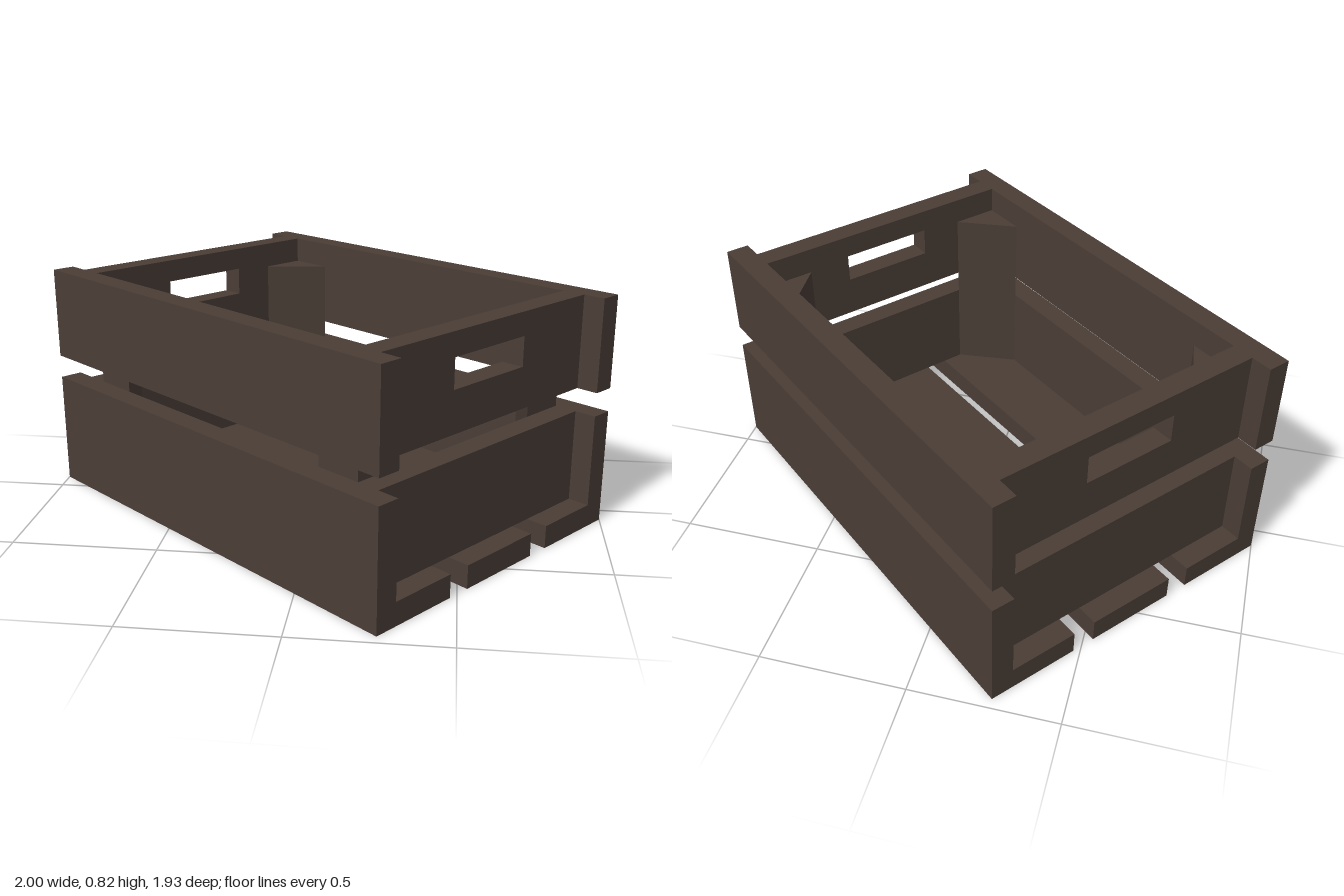
import * as THREE from 'three';

const L = 1.645, W = 1.147;        // crate length and width
const T = 0.081, B = 0.327;        // board thickness and board width
const GAP = 0.084, RECESS = 0.078; // gap between boards, inset of the end panels
const END_X = L / 2 - RECESS - T / 2;
const INNER_X = L / 2 - RECESS - T, INNER_Z = W / 2 - T;

export function createModel() {
  const wood = new THREE.MeshStandardMaterial({ color: 0x4a3d36 });
  wood.name = 'darkWood';

  const model = new THREE.Group();
  model.name = 'crate';
  const crate = new THREE.Group();
  crate.name = 'crateBody';
  crate.rotation.y = -0.6885; // the crate stands turned on its base
  model.add(crate);

  const add = (name, geometry, x, y, z) => {
    const mesh = new THREE.Mesh(geometry, wood);
    mesh.name = name;
    mesh.position.set(x, y, z);
    crate.add(mesh);
    return mesh;
  };

  // Floor slats
  for (const i of [-1, 0, 1]) {
    add('floorSlat', new THREE.BoxGeometry(L, T, B), 0, T / 2, i * (W - B) / 2);
  }

  // Two rows of boards on the long sides
  const rows = [T + B / 2, T + B / 2 + B + GAP];
  for (const y of rows) {
    for (const s of [-1, 1]) {
      add('sideBoard', new THREE.BoxGeometry(L, B, T), 0, y, s * (W / 2 - T / 2));
    }
  }

  // Recessed end panels; the upper ones have a handle slot
  const panel = new THREE.Shape([
    [-INNER_Z, -B / 2], [INNER_Z, -B / 2], [INNER_Z, B / 2], [-INNER_Z, B / 2],
  ].map(([x, y]) => new THREE.Vector2(x, y)));
  const slotY = 0.687 - rows[1];
  panel.holes.push(new THREE.Path([
    [-0.17, slotY - 0.051], [-0.17, slotY + 0.051], [0.17, slotY + 0.051], [0.17, slotY - 0.051],
  ].map(([x, y]) => new THREE.Vector2(x, y))));
  const handlePanel = new THREE.ExtrudeGeometry(panel, { depth: T, bevelEnabled: false });
  handlePanel.translate(0, 0, -T / 2).rotateY(Math.PI / 2);
  for (const s of [-1, 1]) {
    add('lowerEndPanel', new THREE.BoxGeometry(T, B, INNER_Z * 2), s * END_X, rows[0], 0);
    add('handlePanel', handlePanel, s * END_X, rows[1], 0);
  }

  // Triangular corner posts inside the walls
  const leg = 0.167, postTop = 0.725;
  for (const sx of [-1, 1]) {
    for (const sz of [-1, 1]) {
      const corner = new THREE.Shape([
        new THREE.Vector2(0, 0),
        new THREE.Vector2(-sx * leg, 0),
        new THREE.Vector2(0, sz * leg),
      ]);
      const post = new THREE.ExtrudeGeometry(corner, { depth: postTop - T, bevelEnabled: false });
      post.rotateX(-Math.PI / 2);
      add('cornerPost', post, sx * INNER_X, T, sz * INNER_Z);
    }
  }

  return model;
}
